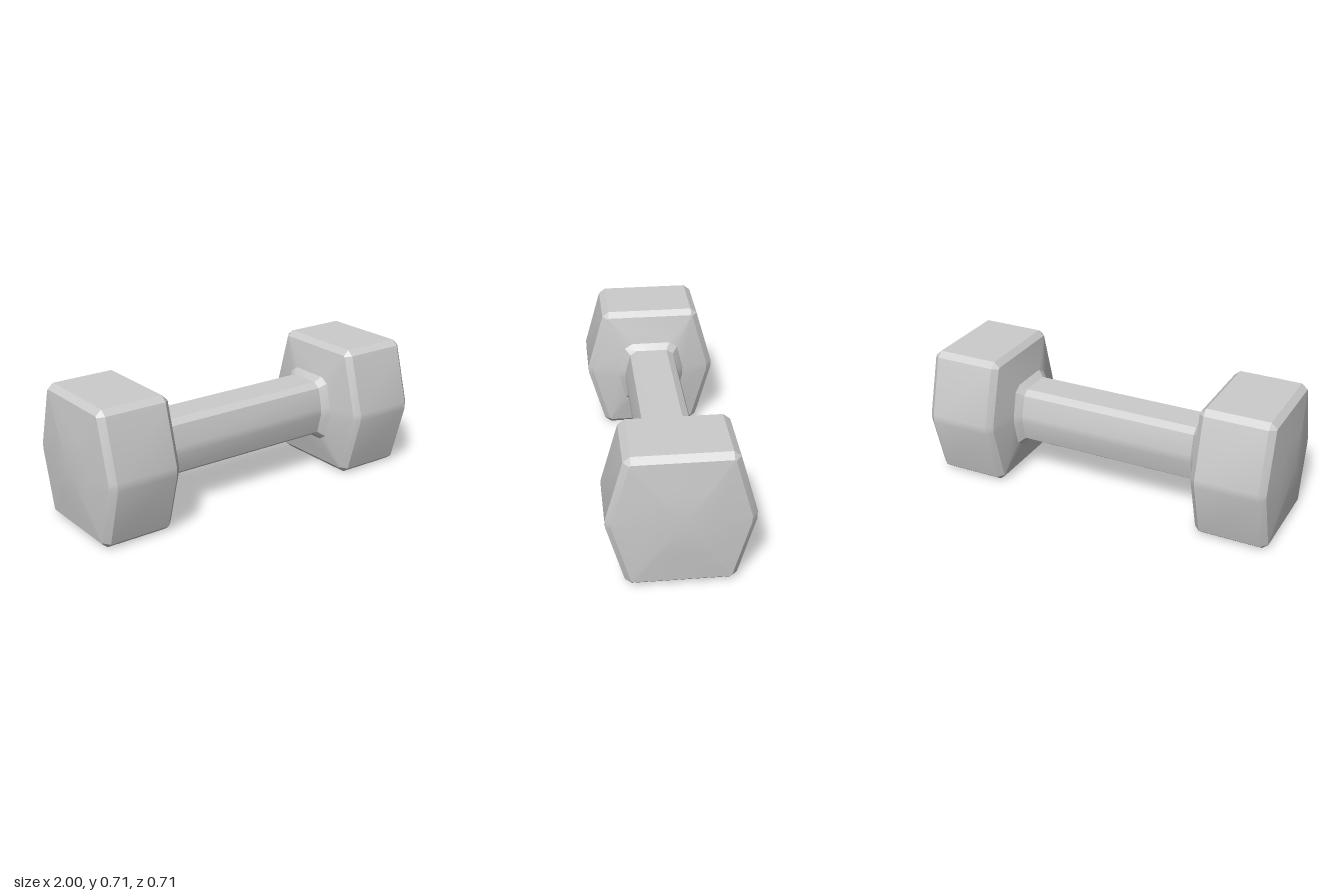
import * as THREE from 'three';
import { toCreasedNormals } from 'three/addons/utils/BufferGeometryUtils.js';

const CENTRE_Y = 0.357;

// Quarter outlines as [z, y] points, running from the top flat to the side corner
const FULL = [[0.235, 0.357], [0.27, 0.33], [0.357, 0.022]];
const INSET = [[0.235, 0.329], [0.242, 0.323], [0.328, 0.018]];
const COLLAR = [[0.105, 0.183], [0.15, 0.155], [0.182, 0.022]];
const GRIP = [[0.085, 0.154], [0.122, 0.129], [0.15, 0.02]];

// Mirrors a quarter outline into a closed 12-sided ring at position x
function ring(x, quarter, scale = 1) {
  const back = [...quarter].reverse();
  const place = (points, sz, sy) =>
    points.map(([z, y]) => new THREE.Vector3(x, y * sy * scale, z * sz * scale));
  return [...place(quarter, 1, 1), ...place(back, 1, -1), ...place(quarter, -1, -1), ...place(back, -1, 1)];
}

// Skins a series of rings ordered by rising x
function loft(rings) {
  const points = [];
  const addTriangle = (a, b, c) => {
    if (new THREE.Triangle(a, b, c).getArea() > 1e-8) points.push(a, b, c);
  };
  for (let i = 0; i < rings.length - 1; i++) {
    const near = rings[i], far = rings[i + 1];
    for (let j = 0; j < near.length; j++) {
      const k = (j + 1) % near.length;
      addTriangle(near[j], near[k], far[j]);
      addTriangle(near[k], far[k], far[j]);
    }
  }
  const geometry = new THREE.BufferGeometry().setFromPoints(points);
  return toCreasedNormals(geometry, 0.42);
}

export function createModel() {
  const model = new THREE.Group();
  const material = new THREE.MeshStandardMaterial({ color: 0xcccccc });

  const add = (name, geometry) => {
    const mesh = new THREE.Mesh(geometry, material);
    mesh.name = name;
    mesh.position.y = CENTRE_Y;
    model.add(mesh);
    return mesh;
  };

  // Faceted grip bar
  add('handle', loft([ring(-0.495, GRIP), ring(0.495, GRIP)]));

  // Chamfered hexagonal weight: flared collar, body and shallow domed end
  const head = loft([
    ring(0.495, GRIP),
    ring(0.53, COLLAR),
    ring(0.57, INSET),
    ring(0.6, FULL),
    ring(0.932, FULL),
    ring(0.964, INSET),
    ring(0.985, INSET, 0.5),
    ring(1, INSET, 0),
  ]);
  add('leftWeight', head);
  add('rightWeight', head).rotation.y = Math.PI;

  return model;
}
